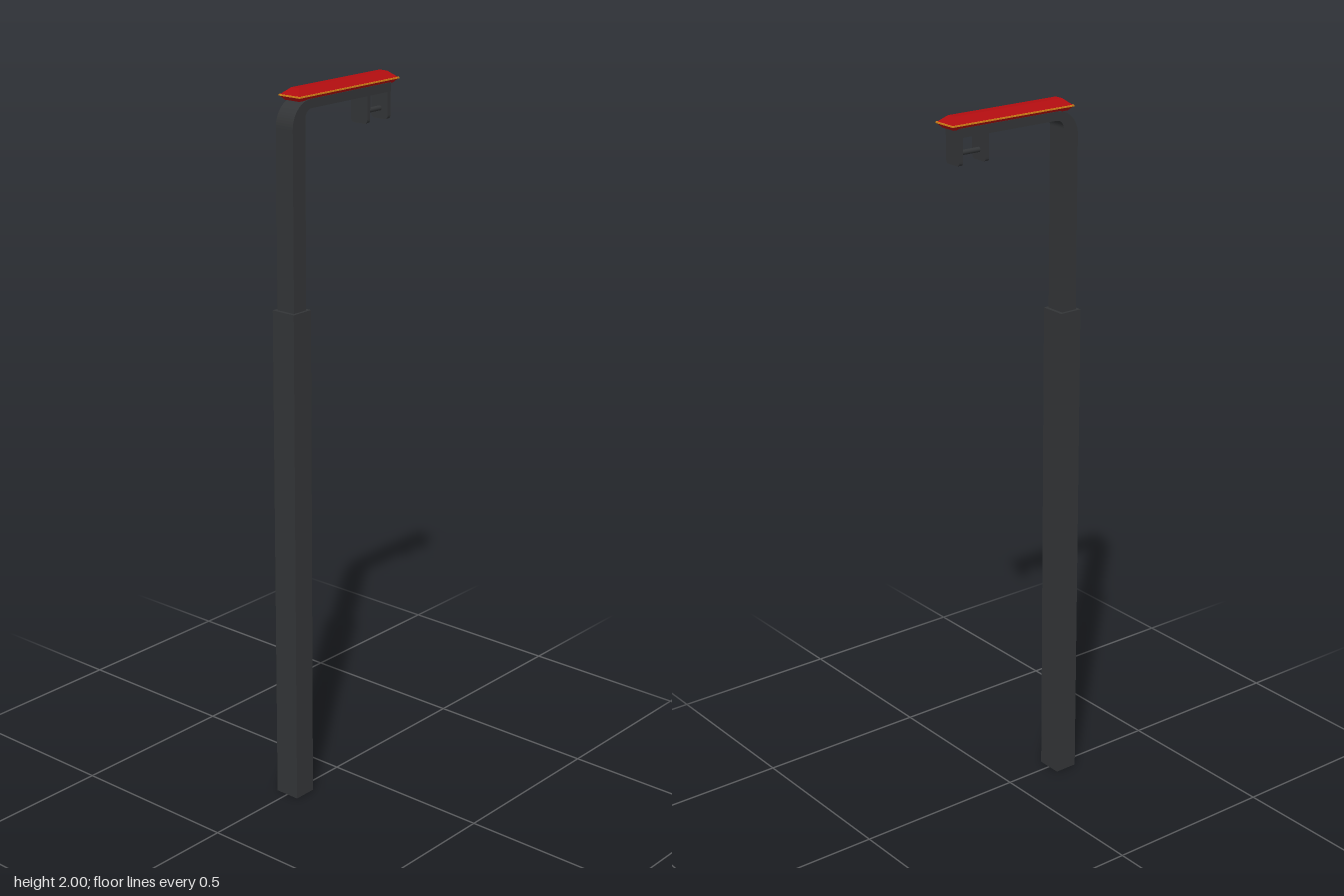
import * as THREE from 'three';

export function createModel() {
  const group = new THREE.Group();
  const mat = (name, color) => {
    const m = new THREE.MeshStandardMaterial({ color });
    m.name = name;
    return m;
  };
  const dark = mat('charcoal', 0x333537);
  const red = mat('red', 0xb20d10);
  const amber = mat('amber', 0xd98518);

  const add = (name, geometry, material) => {
    const mesh = new THREE.Mesh(geometry, material);
    mesh.name = name;
    group.add(mesh);
    return mesh;
  };
  const box = (name, x0, x1, y0, y1, halfZ, material) => {
    const mesh = add(name, new THREE.BoxGeometry(x1 - x0, y1 - y0, 2 * halfZ), material);
    mesh.position.set((x0 + x1) / 2, (y0 + y1) / 2, 0);
  };
  // Box whose bottom and top rectangles are inset by different amounts
  const frustum = (name, y0, y1, insetBottom, insetTop, material) => {
    const g = new THREE.BoxGeometry(2, y1 - y0, 2);
    const p = g.attributes.position;
    for (let i = 0; i < p.count; i++) {
      const inset = p.getY(i) > 0 ? insetTop : insetBottom;
      p.setXYZ(i, p.getX(i) * (0.199 - inset), p.getY(i), p.getZ(i) * (0.036 - inset));
    }
    const flat = g.toNonIndexed();
    flat.computeVertexNormals();
    add(name, flat, material).position.set(0.013, (y0 + y1) / 2, 0);
  };

  // Square lower post
  box('lowerPost', -0.215, -0.147, 0, 1.417, 0.037, dark);

  // Slimmer upper post bending into the horizontal arm
  const arm = new THREE.Shape();
  arm.moveTo(-0.205, 1.4);
  arm.lineTo(-0.157, 1.4);
  arm.lineTo(-0.157, 1.922);
  arm.absarc(-0.132, 1.922, 0.025, Math.PI, Math.PI / 2, true);
  arm.lineTo(0.186, 1.947);
  arm.lineTo(0.186, 1.971);
  arm.lineTo(-0.135, 1.971);
  arm.absarc(-0.135, 1.901, 0.07, Math.PI / 2, Math.PI, false);
  arm.closePath();
  const armGeo = new THREE.ExtrudeGeometry(arm, { depth: 0.058, bevelEnabled: false, curveSegments: 8 });
  armGeo.translate(0, 0, -0.029);
  add('upperPostAndArm', armGeo, dark);

  // Red cap with sloped sides and an amber trim line
  frustum('capUnderside', 1.968, 1.979, 0.012, 0.002, red);
  frustum('capTrim', 1.979, 1.983, 0, 0, amber);
  frustum('capTop', 1.983, 2.0, 0.003, 0.023, red);

  // Pair of hanging bracket plates with clipped lower corners
  const plate = new THREE.Shape();
  plate.moveTo(-0.028, 1.95);
  plate.lineTo(-0.028, 1.884);
  plate.quadraticCurveTo(-0.028, 1.873, -0.017, 1.873);
  plate.lineTo(0.017, 1.873);
  plate.quadraticCurveTo(0.028, 1.873, 0.028, 1.884);
  plate.lineTo(0.028, 1.95);
  plate.closePath();
  for (const x of [0.09, 0.174]) {
    const g = new THREE.ExtrudeGeometry(plate, { depth: 0.012, bevelEnabled: false, curveSegments: 5 });
    g.rotateY(Math.PI / 2);
    add('bracketPlate', g, dark).position.x = x;
  }

  // Pin joining the plates
  const pin = add('bracketPin', new THREE.CylinderGeometry(0.007, 0.007, 0.08, 12), dark);
  pin.rotation.z = Math.PI / 2;
  pin.position.set(0.138, 1.901, 0);

  return group;
}
